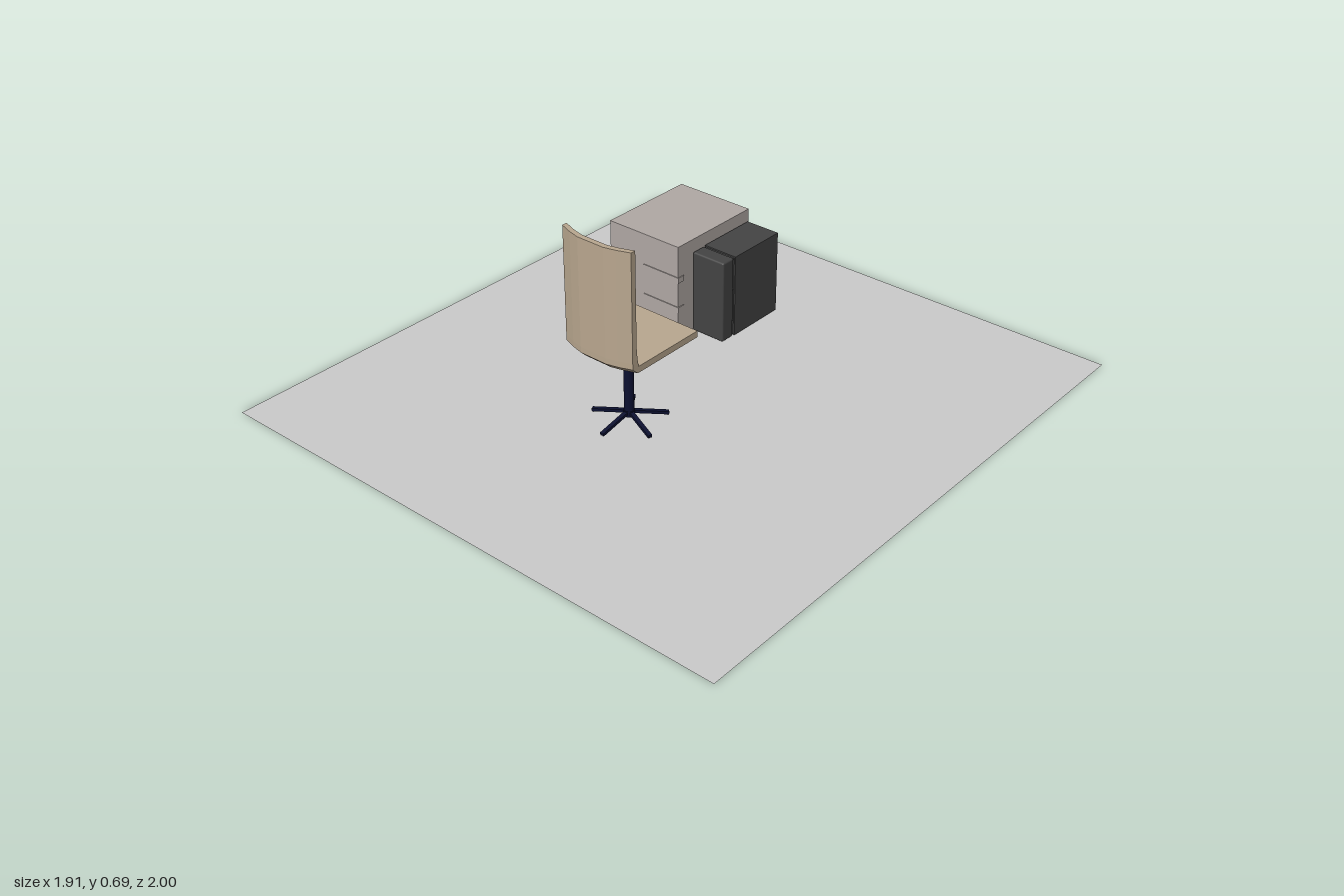
import * as THREE from 'three';
import { RoundedBoxGeometry } from 'three/addons/geometries/RoundedBoxGeometry.js';

const material = (color, extra = {}) => new THREE.MeshStandardMaterial({ color, ...extra });

function part(parent, name, geometry, mat) {
  const mesh = new THREE.Mesh(geometry, mat);
  mesh.name = name;
  parent.add(mesh);
  return mesh;
}

// Box given by its lower and upper corners
function boxBetween(parent, name, [x0, y0, z0], [x1, y1, z1], mat, radius = 0) {
  const size = [x1 - x0, y1 - y0, z1 - z0];
  const geometry = radius ? new RoundedBoxGeometry(...size, 2, radius) : new THREE.BoxGeometry(...size);
  const mesh = part(parent, name, geometry, mat);
  mesh.position.set((x0 + x1) / 2, (y0 + y1) / 2, (z0 + z1) / 2);
  return mesh;
}

function group(parent, name) {
  const g = new THREE.Group();
  g.name = name;
  parent.add(g);
  return g;
}

function buildCabinet(parent) {
  const cabinet = group(parent, 'drawerCabinet');
  const mat = material(0xb0a8a4);
  boxBetween(cabinet, 'cabinetBody', [-0.51, 0.004, -0.6], [-0.21, 0.345, -0.23], mat);
  // Flush drawer grips reaching round the right-hand corner
  for (const y of [0.1, 0.212]) {
    boxBetween(cabinet, 'drawerGrip', [-0.36, y, -0.257], [-0.207, y + 0.02, -0.227], mat);
  }
}

function buildTower(parent) {
  const tower = group(parent, 'computerTower');
  const mat = material(0x444444);
  boxBetween(tower, 'towerCase', [-0.202, 0.008, -0.585], [-0.072, 0.305, -0.358], mat);
  boxBetween(tower, 'towerNeck', [-0.197, 0.012, -0.36], [-0.077, 0.3, -0.345], mat);
  boxBetween(tower, 'towerBezel', [-0.202, 0.008, -0.35], [-0.072, 0.305, -0.295], mat, 0.006);
}

function buildChair(parent) {
  const chair = group(parent, 'chair');
  chair.position.z = 0.25;
  const shell = material(0xb9a78f, { flatShading: true });
  const metal = material(0x0c1030);

  // Plan curve: nearly flat in the middle, swept forward at the sides
  const half = 0.134;
  const plan = [[-half, 0.128], [-0.09, 0.144], [-0.05, 0.154], [0.05, 0.154], [0.09, 0.144], [half, 0.128]];
  const toVector = (offset) => ([x, z]) => new THREE.Vector2(x, -(z + offset));
  const extrudeUp = (points, height, steps = 1) => {
    const geometry = new THREE.ExtrudeGeometry(new THREE.Shape(points), { depth: height, steps, bevelEnabled: false });
    return geometry.rotateX(-Math.PI / 2);
  };

  // Seat follows the curve of the back along its rear edge
  const seatPoints = [new THREE.Vector2(half, 0.167), new THREE.Vector2(-half, 0.167),
    ...plan.map(toVector(-0.022))];
  part(chair, 'seat', extrudeUp(seatPoints, 0.022), shell).position.y = 0.28;

  // Backrest, with its lower front eased forward into the seat
  const backPoints = [...plan.map(toVector(0)), ...plan.map(toVector(-0.018)).reverse()];
  const back = extrudeUp(backPoints, 0.41, 20);
  const position = back.attributes.position;
  for (let i = 0; i < position.count; i++) {
    const x = position.getX(i), y = position.getY(i), z = position.getZ(i);
    const outer = Math.abs(x) <= 0.05 ? 0.154 : 0.154 - (Math.abs(x) - 0.05) * 0.31;
    const ease = Math.max(0, 1 - y / 0.1);
    if (z < outer - 0.009) position.setZ(i, z - 0.013 * ease * ease);
    else position.setZ(i, z - 0.022 * Math.max(0, 1 - y / 0.021));
  }
  back.computeVertexNormals();
  part(chair, 'backrest', back, shell).position.y = 0.28;

  // Column and hub
  part(chair, 'column', new THREE.CylinderGeometry(0.016, 0.016, 0.245, 20), metal).position.y = 0.158;
  part(chair, 'hub', new THREE.CylinderGeometry(0.018, 0.018, 0.02, 20), metal).position.y = 0.035;

  // Five sloping feet
  for (let i = 0; i < 5; i++) {
    const leg = group(chair, 'baseLeg');
    leg.rotation.y = -Math.PI / 2 + (i * 2 * Math.PI) / 5;
    const bar = part(leg, 'legBar', new THREE.BoxGeometry(0.122, 0.01, 0.014), metal);
    bar.position.set(0.066, 0.027, 0);
    bar.rotation.z = -0.2;
  }
}

export function createModel() {
  const model = new THREE.Group();
  model.name = 'officeCorner';

  const floor = part(model, 'floor', new THREE.PlaneGeometry(1.914, 2), material(0xcccccc, { side: THREE.DoubleSide }));
  floor.rotation.x = -Math.PI / 2;

  buildCabinet(model);
  buildTower(model);
  buildChair(model);
  return model;
}
